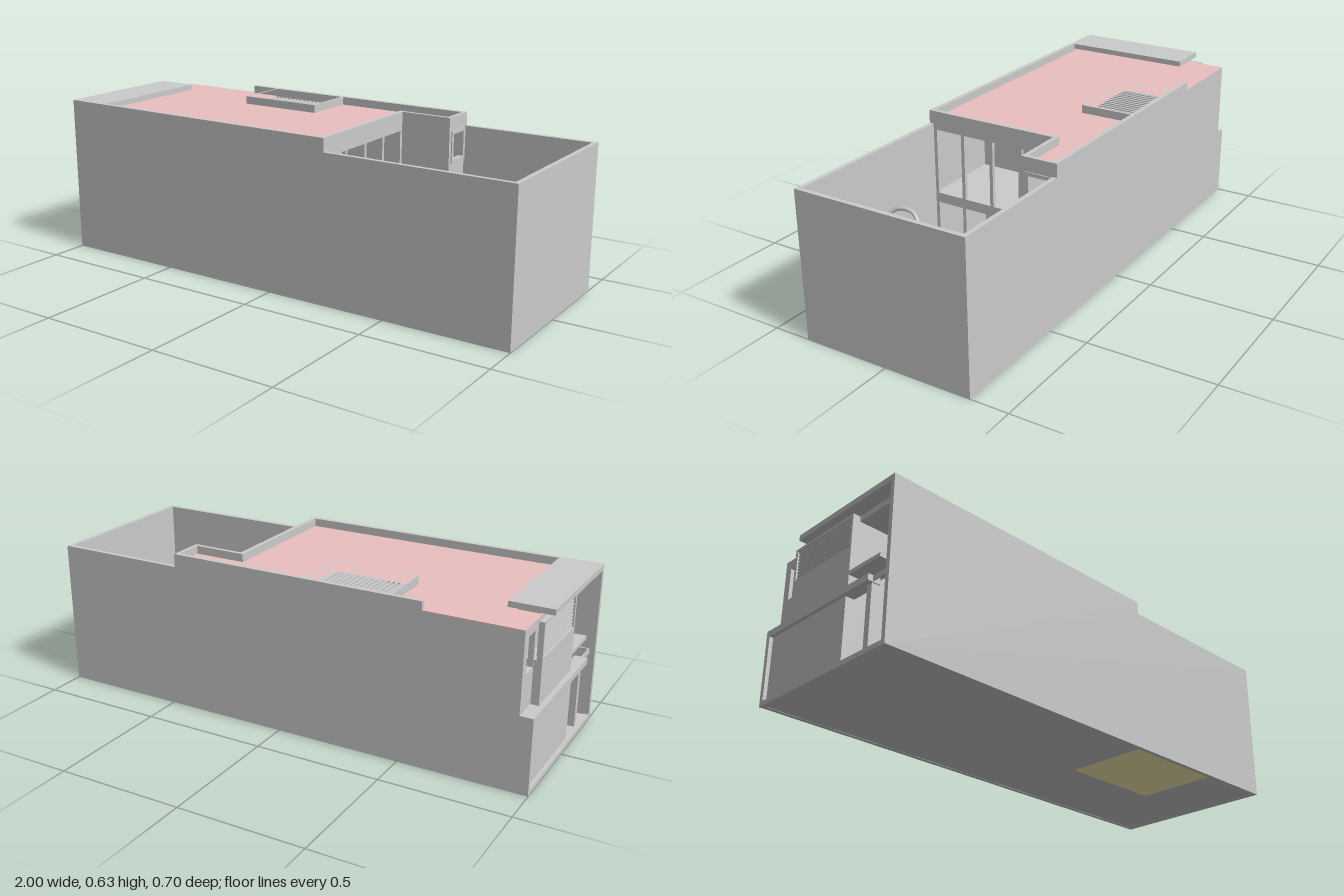
import * as THREE from 'three';

const mat = (color) => new THREE.MeshStandardMaterial({ color });

export function createModel() {
  const house = new THREE.Group();
  house.name = 'terracedHouse';
  const grey = mat(0xcccccc), pink = mat(0xecc0c0), sand = mat(0xfff5b5), ochre = mat(0xa88e10);

  const add = (name, geometry, material = grey) => {
    const mesh = new THREE.Mesh(geometry, material);
    mesh.name = name;
    house.add(mesh);
    return mesh;
  };
  // Box given by its limits on each axis
  const box = (name, [x0, x1], [y0, y1], [z0, z1], material) =>
    add(name, new THREE.BoxGeometry(x1 - x0, y1 - y0, z1 - z0)
      .translate((x0 + x1) / 2, (y0 + y1) / 2, (z0 + z1) / 2), material);
  // Horizontal slab from a plan outline of [x, z] corners
  const slab = (name, outline, holes, y0, y1, material) => {
    const points = (list) => list.map(([x, z]) => new THREE.Vector2(x, -z));
    const shape = new THREE.Shape(points(outline));
    holes.forEach((h) => shape.holes.push(new THREE.Path(points(h))));
    const geometry = new THREE.ExtrudeGeometry(shape, { depth: y1 - y0, bevelEnabled: false });
    return add(name, geometry.rotateX(-Math.PI / 2).translate(0, y0, 0), material);
  };
  const rect = (x0, x1, z0, z1) => [[x0, z0], [x1, z0], [x1, z1], [x0, z1]];
  // Rectangular frame standing across x
  const frame = (name, x, [y0, y1], [z0, z1], w, t = 0.02) => {
    const xs = [x, x + t];
    box(name, xs, [y0, y0 + w], [z0, z1]);
    box(name, xs, [y1 - w, y1], [z0, z1]);
    box(name, xs, [y0 + w, y1 - w], [z0, z0 + w]);
    box(name, xs, [y0 + w, y1 - w], [z1 - w, z1]);
  };

  // Long outer walls, profiled in x and y
  const wall = (name, profile, z) => {
    const shape = new THREE.Shape(profile.map(([x, y]) => new THREE.Vector2(x, y)));
    add(name, new THREE.ExtrudeGeometry(shape, { depth: 0.018, bevelEnabled: false }).translate(0, 0, z));
  };
  wall('frontWall', [[-1, 0], [1, 0], [1, 0.583], [0.25, 0.583], [0.25, 0.635], [-1, 0.635]], 0.332);
  wall('backWall', [[-1, 0], [1, 0], [1, 0.583], [0.46, 0.583], [0.46, 0.635], [-0.58, 0.635],
    [-0.58, 0.6], [-0.95, 0.6], [-0.95, 0.295], [-1, 0.295]], -0.35);
  box('courtyardEndWall', [0.982, 1], [0, 0.583], [-0.332, 0.332]);

  // Ground floor
  box('groundFloor', [-1, 0.24], [0.001, 0.015], [-0.332, 0.332]);
  box('patioFloor', [0.24, 0.68], [0.001, 0.015], [0, 0.332], sand);
  box('patioBackFloor', [0.24, 0.68], [0.001, 0.015], [-0.332, 0]);
  box('terraceBaseFloor', [0.68, 0.982], [0.001, 0.015], [-0.332, 0.332]);

  // Upper floor and L-shaped terrace around the patio well
  slab('upperFloor', rect(-0.98, 0.25, -0.332, 0.332),
    [rect(-0.45, -0.12, -0.33, -0.13), rect(-0.975, -0.8, 0.1, 0.325)], 0.275, 0.295);
  slab('terrace', [[0.25, -0.332], [0.982, -0.332], [0.982, 0.332], [0.68, 0.332], [0.68, -0.13], [0.25, -0.13]],
    [], 0.275, 0.3);
  box('terraceWall', [0.68, 0.69], [0.015, 0.275], [-0.13, 0.332]);
  box('patioBackWall', [0.25, 0.68], [0.015, 0.275], [-0.14, -0.13]);
  box('terraceParapet', [0.25, 0.69], [0.3, 0.39], [-0.142, -0.125]);
  box('terraceParapetReturn', [0.675, 0.69], [0.3, 0.39], [-0.125, 0]);

  // Slatted pergola over the back of the patio
  for (let i = 0; i < 18; i++) {
    const x = 0.256 + i * 0.0235;
    box('pergolaSlat', [x, x + 0.011], [0.27, 0.295], [-0.125, 0]);
  }
  box('pergolaBeam', [0.25, 0.68], [0.265, 0.28], [-0.008, 0]);
  box('patioSeat', [0.6, 0.64], [0.015, 0.08], [-0.085, -0.04], ochre);

  // Arched guard rail beside the patio
  const arch = new THREE.CatmullRomCurve3([[0.68, 0.3, 0.08], [0.67, 0.37, 0.09], [0.65, 0.41, 0.13],
    [0.65, 0.41, 0.2], [0.67, 0.37, 0.24], [0.68, 0.3, 0.25]].map((p) => new THREE.Vector3(...p)));
  add('archedRail', new THREE.TubeGeometry(arch, 24, 0.008, 8));
  box('railLedge', [0.64, 0.69], [0.295, 0.31], [0.07, 0.25]);

  // Terrace planters
  [[0.545, -0.24, 0.03], [0.668, -0.277, 0.07], [0.8, -0.24, 0.03], [0.922, -0.277, -0.15]].forEach(([x, z, turn]) => {
    const planter = new THREE.Group();
    planter.name = 'planter';
    const pot = new THREE.Mesh(new THREE.BoxGeometry(0.088, 0.085, 0.088), grey);
    const fill = new THREE.Mesh(new THREE.BoxGeometry(0.08, 0.008, 0.08), ochre);
    pot.name = 'planterPot';
    fill.name = 'planterTop';
    fill.position.y = 0.043;
    planter.add(pot, fill);
    planter.position.set(x, 0.343, z);
    planter.rotation.y = turn;
    house.add(planter);
  });

  // Roof, with a well for the skylight
  const skylight = [rect(-0.45, -0.12, -0.33, -0.13)];
  const roof = [[-0.95, -0.35], [-0.58, -0.35], [-0.58, -0.333], [0.455, -0.333], [0.455, -0.22], [0.24, -0.22],
    [0.24, 0.333], [-0.95, 0.333]];
  slab('roofSlab', roof, skylight, 0.58, 0.599);
  slab('roofSurface', roof, skylight, 0.599, 0.603, pink);
  box('parapetCourtyard', [0.232, 0.25], [0.58, 0.635], [-0.222, 0.332]);
  box('parapetInner', [0.232, 0.46], [0.58, 0.635], [-0.222, -0.206]);
  box('parapetEnd', [0.444, 0.46], [0.58, 0.635], [-0.332, -0.222]);
  box('streetCanopy', [-1, -0.83], [0.613, 0.635], [-0.2, 0.333]);
  box('canopySupport', [-0.94, -0.86], [0.6, 0.613], [-0.18, 0.333]);

  // Skylight curb and louvres
  slab('skylightCurb', rect(-0.46, -0.11, -0.345, -0.12), skylight, 0.58, 0.635);
  for (let i = 0; i < 16; i++) {
    const x = -0.445 + i * 0.0205;
    box('skylightLouvre', [x, x + 0.01], [0.585, 0.6], [-0.33, -0.13]);
  }
  box('skylightRoomSeat', [-0.32, -0.245], [0.015, 0.08], [-0.23, -0.14], ochre);

  // Courtyard facade: posts and beams of the glazed openings
  for (const [y0, y1] of [[0.015, 0.275], [0.295, 0.58]]) {
    box('doorHead', [0.232, 0.25], [y1 - 0.02, y1], [-0.206, 0.332]);
    for (const z of [-0.206, -0.07, 0.06, 0.19, 0.318])
      box('doorPost', [0.235, 0.25], [y0, y1 - 0.02], [z, z + 0.014]);
  }
  box('innerPartition', [-0.1, -0.09], [0.015, 0.58], [-0.332, 0.332]);

  // Projecting back room with its window
  box('backRoomSide', [0.25, 0.46], [0.3, 0.58], [-0.222, -0.206]);
  box('backRoomLowerWall', [0.444, 0.46], [0.3, 0.45], [-0.332, -0.222]);
  frame('backRoomWindow', 0.444, [0.45, 0.58], [-0.332, -0.222], 0.014);

  // Street facade: garage, balcony edge, window bay
  box('garageDoor', [-0.985, -0.975], [0.015, 0.275], [-0.332, 0.1]);
  box('garageLintel', [-1, -0.95], [0.27, 0.295], [-0.332, 0.24]);
  box('garageFloorEdge', [-1, -0.98], [0, 0.018], [-0.332, 0.332]);
  box('streetWindowSill', [-0.95, -0.935], [0.295, 0.42], [-0.332, -0.235]);
  frame('streetWindow', -0.95, [0.42, 0.58], [-0.332, -0.235], 0.014);
  box('bayLowerWall', [-0.98, -0.9], [0.295, 0.46], [-0.245, 0.1]);
  box('bayBack', [-0.92, -0.9], [0.46, 0.6], [-0.245, 0.1]);
  frame('bayFrame', -0.98, [0.455, 0.6], [-0.245, 0.1], 0.012);
  for (let i = 0; i < 9; i++)
    box('bayLouvre', [-0.975, -0.955], [0.472 + i * 0.0135, 0.478 + i * 0.0135], [-0.235, 0.09]);

  // Entrance recess
  box('entranceCanopy', [-0.98, -0.88], [0.355, 0.37], [0.1, 0.27]);
  box('entrancePost', [-0.98, -0.95], [0.015, 0.27], [0.21, 0.235]);
  box('entranceSideWall', [-0.975, -0.8], [0.015, 0.6], [0.09, 0.1]);
  box('entranceBackWall', [-0.81, -0.8], [0.015, 0.6], [0.1, 0.332]);
  box('entranceStep', [-0.95, -0.87], [0.015, 0.06], [0.26, 0.33], sand);

  return house;
}
